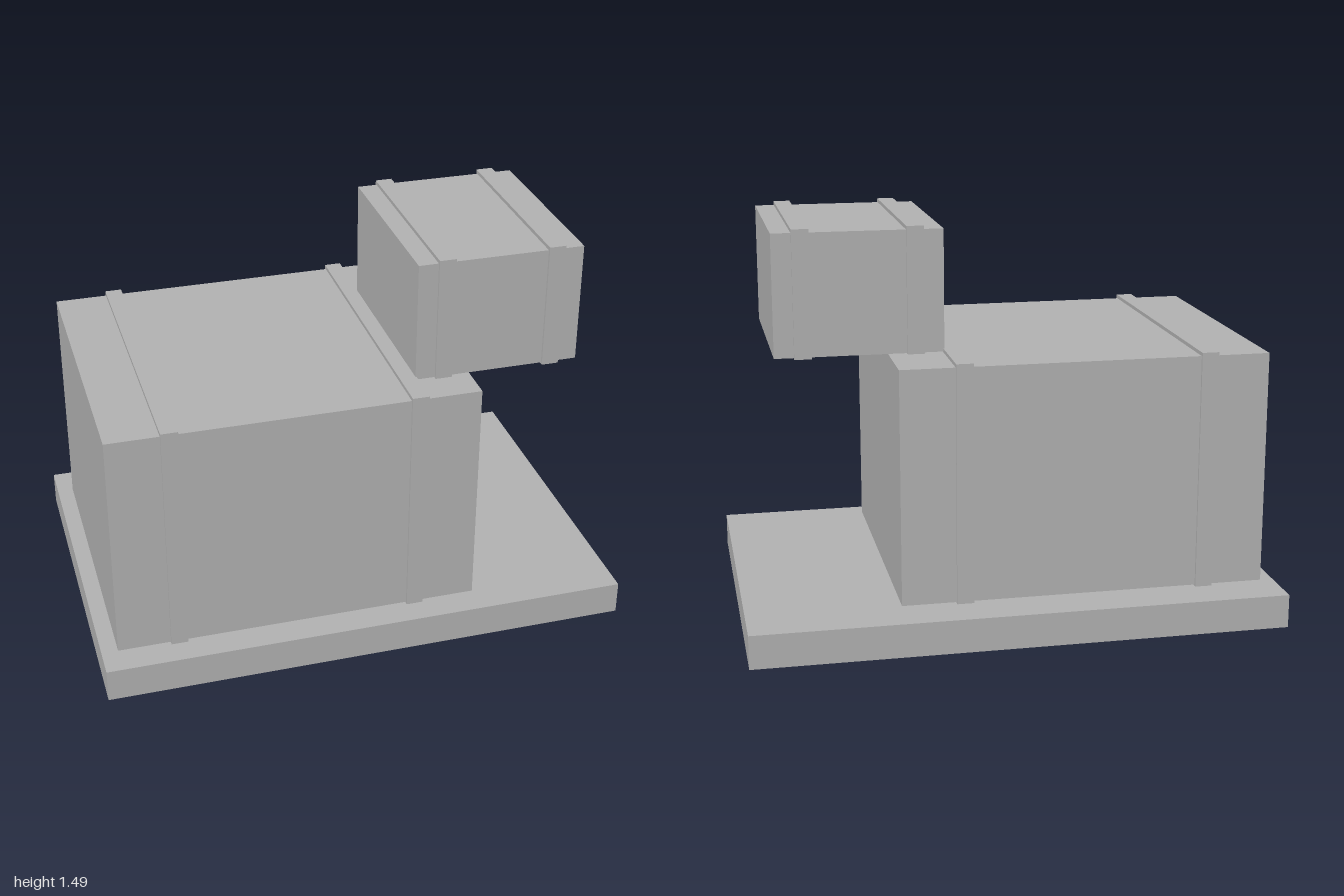
import * as THREE from 'three';

const grey = new THREE.MeshStandardMaterial({ color: 0xb2b2b2 });
grey.name = 'plain grey';
grey.side = THREE.DoubleSide;

// Box given by its extents along each axis
function block(name, [x0, x1], [y0, y1], [z0, z1]) {
  const mesh = new THREE.Mesh(new THREE.BoxGeometry(x1 - x0, y1 - y0, z1 - z0), grey);
  mesh.position.set((x0 + x1) / 2, (y0 + y1) / 2, (z0 + z1) / 2);
  mesh.name = name;
  return mesh;
}

// Crate with straps wrapped around it
function strappedCrate(name, x, y, z, straps) {
  const crate = new THREE.Group();
  crate.name = name;
  crate.add(block(name + 'Body', x, y, z));
  for (const strapX of straps) {
    crate.add(block(name + 'Strap', strapX,
      [y[0] - 0.005, y[1] + 0.014], [z[0] - 0.01, z[1] + 0.01]));
  }
  return crate;
}

export function createModel() {
  const model = new THREE.Group();
  model.name = 'stackedCrates';

  // Base slab, hollow and open underneath: leave out the bottom face
  const base = block('base', [-1, 1], [0, 0.127], [-0.69, 0.69]);
  const index = Array.from(base.geometry.index.array);
  index.splice(18, 6);
  base.geometry.setIndex(index);
  base.geometry.clearGroups();
  model.add(base);

  model.add(strappedCrate('largeCrate', [-0.94, 0.433], [0.138, 1.02], [-0.54, 0.59],
    [[-0.743, -0.68], [0.167, 0.23]]));
  model.add(strappedCrate('smallCrate', [0.226, 0.85], [1.023, 1.478], [-0.29, 0.45],
    [[0.3, 0.363], [0.714, 0.777]]));
  return model;
}
